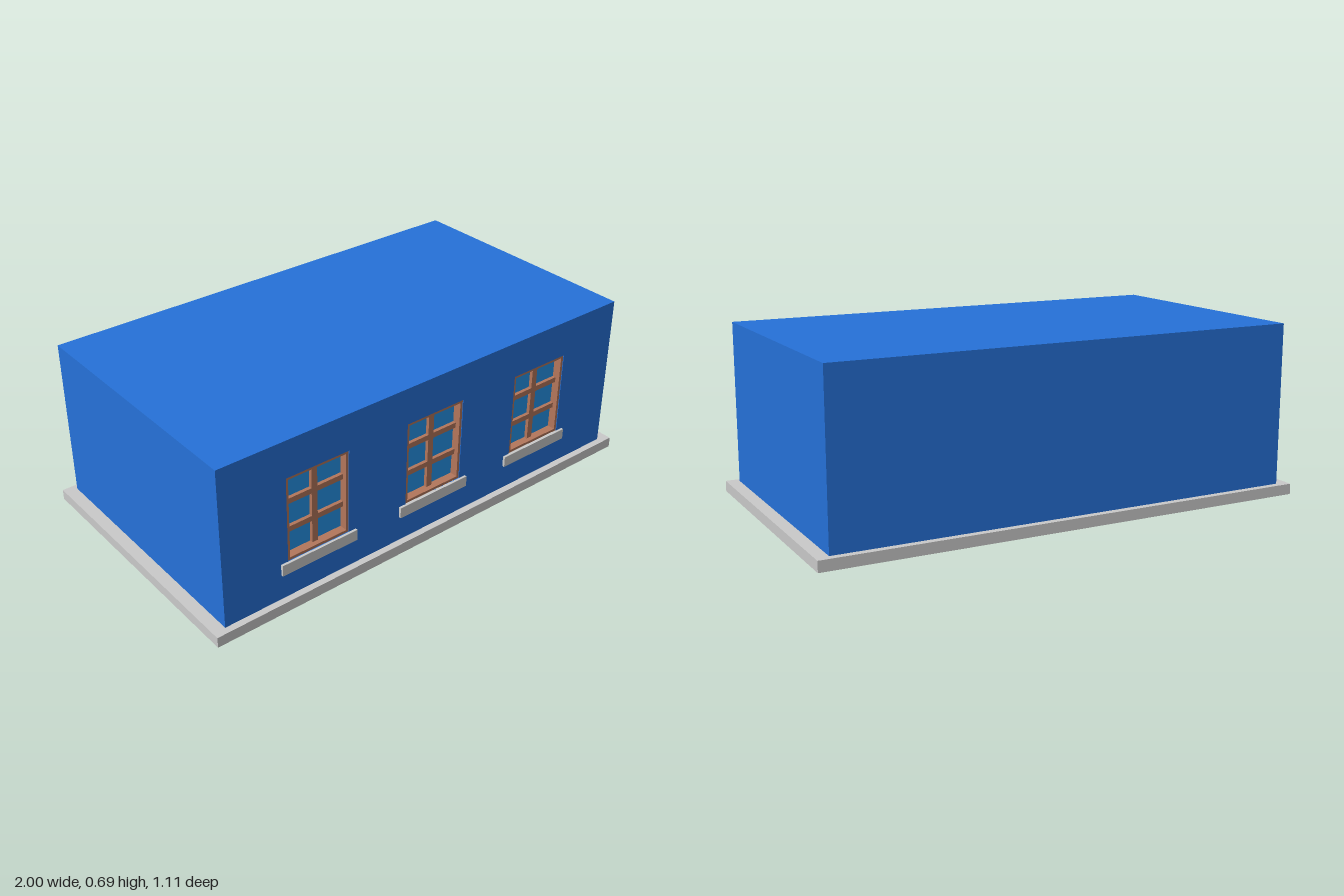
import * as THREE from 'three';

const mat = (color) => new THREE.MeshStandardMaterial({ color });
const grey = mat(0xcccccc), blue = mat(0x2672da), glass = mat(0x2595ec), wood = mat(0xb4775c);

// Box given by its min and max corners
function box(name, material, [x0, y0, z0], [x1, y1, z1]) {
  const mesh = new THREE.Mesh(new THREE.BoxGeometry(x1 - x0, y1 - y0, z1 - z0), material);
  mesh.position.set((x0 + x1) / 2, (y0 + y1) / 2, (z0 + z1) / 2);
  mesh.name = name;
  return mesh;
}

function rect(PathType, x0, y0, x1, y1) {
  return new PathType([[x0, y0], [x1, y0], [x1, y1], [x0, y1]].map(([x, y]) => new THREE.Vector2(x, y)));
}

const HX = 0.95, HZ = 0.528, FLOOR = 0.043, TOP = 0.695; // building block
const W = 0.136, Y0 = 0.195, Y1 = 0.545;                 // window half width, bottom, top
const WALL = 0.06, CENTERS = [-0.541, 0, 0.541];

function createWindow(x) {
  const g = new THREE.Group();
  g.name = 'window';
  g.position.x = x;
  const back = HZ - 0.05, bar = HZ - 0.022, front = HZ - 0.003, t = 0.011;
  g.add(box('glassPane', glass, [-W, Y0, HZ - WALL], [W, Y1, HZ - 0.036]));
  // Outer frame lining the opening
  for (const s of [-1, 1]) {
    const a = s * W, b = s * (W - t);
    g.add(box('frameJamb', wood, [Math.min(a, b), Y0, back], [Math.max(a, b), Y1, front]));
  }
  g.add(box('frameTop', wood, [-W + t, Y1 - t, back], [W - t, Y1, front]));
  g.add(box('frameBottom', wood, [-W + t, Y0, back], [W - t, Y0 + t, front]));
  // Glazing bars
  g.add(box('mullion', wood, [-0.0125, Y0 + t, back], [0.0125, Y1 - t, bar]));
  for (const y of [0.311, 0.429]) {
    g.add(box('glazingBar', wood, [-W + t, y - 0.011, back], [W - t, y + 0.011, bar]));
  }
  g.add(box('sill', grey, [-0.167, 0.15, HZ - 0.02], [0.167, Y0, HZ + 0.01]));
  return g;
}

export function createModel() {
  const model = new THREE.Group();
  model.name = 'building';
  model.add(box('basePlinth', grey, [-1, 0, -0.555], [1, FLOOR, 0.555]));
  model.add(box('mainBlock', blue, [-HX, FLOOR, -HZ], [HX, TOP, HZ - WALL]));

  // Front wall with window openings
  const shape = rect(THREE.Shape, -HX, FLOOR, HX, TOP);
  for (const x of CENTERS) shape.holes.push(rect(THREE.Path, x - W, Y0, x + W, Y1));
  const wall = new THREE.Mesh(new THREE.ExtrudeGeometry(shape, { depth: WALL, bevelEnabled: false }), blue);
  wall.position.z = HZ - WALL;
  wall.name = 'frontWall';
  model.add(wall);

  for (const x of CENTERS) model.add(createWindow(x));
  return model;
}
